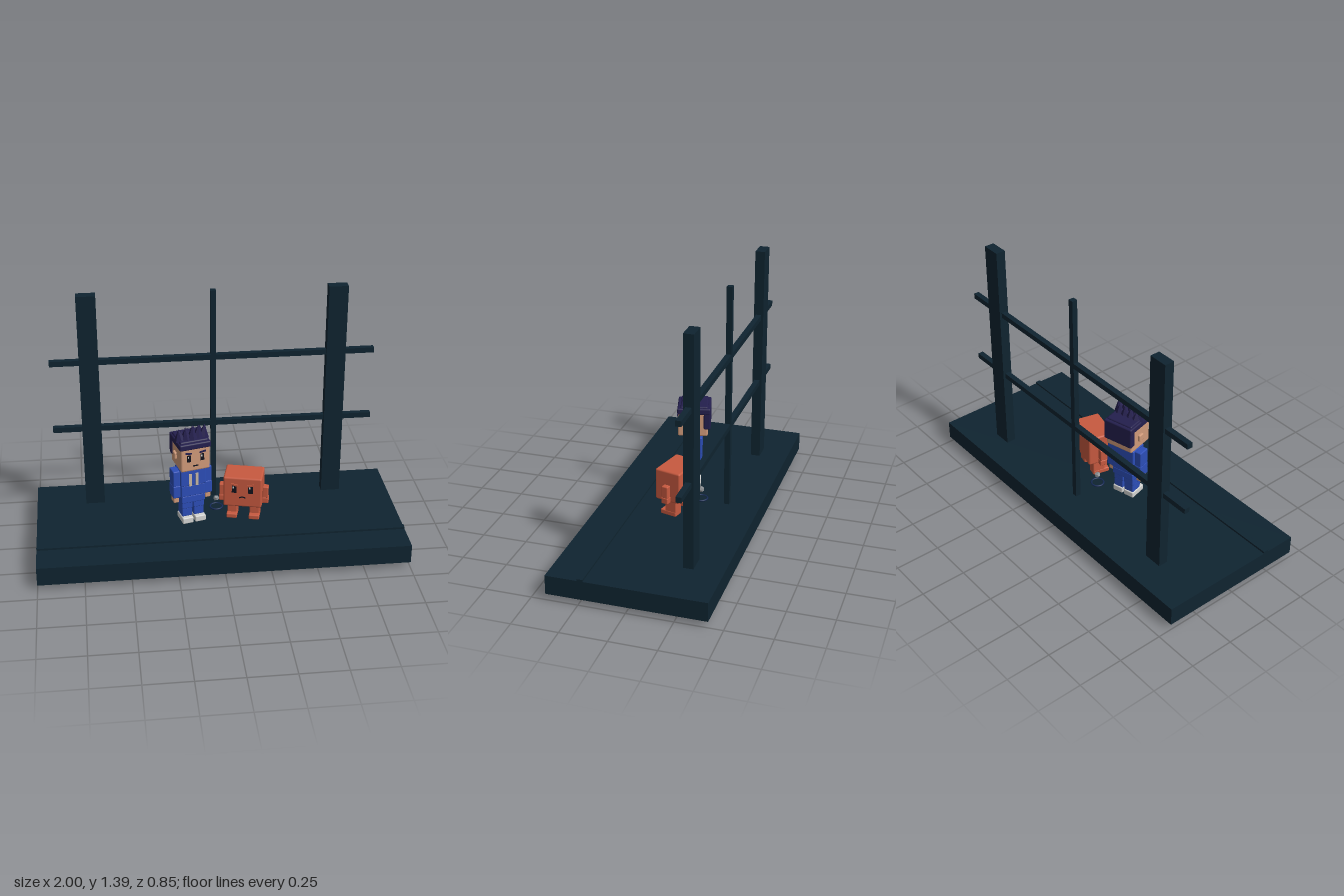
import * as THREE from 'three';
import { RoundedBoxGeometry } from 'three/addons/geometries/RoundedBoxGeometry.js';

const paint = (name, color) => {
  const m = new THREE.MeshStandardMaterial({ color });
  m.name = name;
  return m;
};

export function createModel() {
  const slate = paint('dark slate', 0x0f2430);
  const skin = paint('skin', 0xd09a7a);
  const hair = paint('navy hair', 0x241f4e);
  const blue = paint('blue cloth', 0x2c4eb8);
  const red = paint('terracotta', 0xc85a40);
  const white = paint('light grey', 0xd4d4d2);
  const ink = paint('ink', 0x11131c);
  const cream = paint('cream', 0xc8b8a4);
  const darkBlue = paint('deep blue', 0x152a55);
  const metal = paint('metal', 0x8c9094);

  const model = new THREE.Group();
  model.name = 'diorama';

  const add = (parent, name, geometry, material, x, y, z) => {
    const mesh = new THREE.Mesh(geometry, material);
    mesh.name = name;
    mesh.position.set(x, y, z);
    parent.add(mesh);
    return mesh;
  };
  const box = (parent, name, mat, w, h, d, x, y, z) =>
    add(parent, name, new THREE.BoxGeometry(w, h, d), mat, x, y, z);
  const soft = (parent, name, mat, w, h, d, x, y, z, r = 0.006) =>
    add(parent, name, new RoundedBoxGeometry(w, h, d, 2, r), mat, x, y, z);
  const group = (name, x, z, turn) => {
    const g = new THREE.Group();
    g.name = name;
    g.position.set(x, 0, z);
    g.rotation.y = turn;
    model.add(g);
    return g;
  };

  // Platform and fence
  box(model, 'platform', slate, 2, 0.105, 0.845, 0, 0.0865, 0);
  box(model, 'kerbStrip', slate, 2, 0.012, 0.03, 0, 0.144, 0.236);
  for (const s of [-1, 1]) box(model, 'post', slate, 0.105, 1.39, 0.054, s * 0.673, 0.695, -0.238);
  box(model, 'middlePost', slate, 0.03, 1.39, 0.03, 0, 0.695, -0.238);
  for (const y of [0.607, 1.005]) box(model, 'rail', slate, 1.77, 0.03, 0.03, 0, y, -0.238);

  // Small ring on the floor with a faceted ball above it
  const ring = group('floorRing', 0, -0.09, 0);
  add(ring, 'disc', new THREE.CylinderGeometry(0.034, 0.034, 0.008, 24), slate, 0, 0.143, 0);
  const hoop = add(ring, 'hoop', new THREE.TorusGeometry(0.034, 0.005, 8, 28), darkBlue, 0, 0.146, 0);
  hoop.rotation.x = Math.PI / 2;
  add(ring, 'ball', new THREE.DodecahedronGeometry(0.017), metal, 0, 0.2, 0);

  // Boy
  const boy = group('boy', -0.15, 0, 0.25);
  for (const s of [-1, 1]) {
    soft(boy, 'shoe', white, 0.062, 0.036, 0.1, s * 0.036, 0.157, 0.01);
    soft(boy, 'lowerLeg', blue, 0.058, 0.055, 0.07, s * 0.034, 0.2, 0);
    soft(boy, 'upperLeg', blue, 0.063, 0.05, 0.075, s * 0.033, 0.247, 0);
    soft(boy, 'upperSleeve', blue, 0.04, 0.095, 0.066, s * 0.091, 0.415, 0);
    soft(boy, 'lowerSleeve', blue, 0.042, 0.075, 0.07, s * 0.091, 0.335, 0);
    soft(boy, 'hand', skin, 0.032, 0.04, 0.05, s * 0.091, 0.283, 0);
    box(boy, 'jacketStripe', cream, 0.016, 0.075, 0.006, s * 0.019, 0.407, 0.05);
  }
  soft(boy, 'hips', blue, 0.136, 0.045, 0.09, 0, 0.283, 0);
  soft(boy, 'waist', blue, 0.14, 0.07, 0.094, 0, 0.338, 0);
  soft(boy, 'chest', blue, 0.146, 0.097, 0.098, 0, 0.418, 0);
  soft(boy, 'collar', blue, 0.11, 0.02, 0.08, 0, 0.466, 0);
  box(boy, 'neck', skin, 0.06, 0.02, 0.05, 0, 0.48, 0);
  soft(boy, 'head', skin, 0.165, 0.16, 0.165, 0, 0.56, 0.002, 0.01);
  for (const s of [-1, 1]) {
    soft(boy, 'ear', skin, 0.018, 0.04, 0.036, s * 0.087, 0.55, -0.004);
    box(boy, 'eye', ink, 0.02, 0.04, 0.005, s * 0.038, 0.56, 0.085);
    box(boy, 'eyeGlint', white, 0.007, 0.011, 0.003, s * 0.038 - 0.004, 0.569, 0.087);
    const brow = box(boy, 'eyebrow', hair, 0.036, 0.009, 0.006, s * 0.04, 0.592, 0.086);
    brow.rotation.z = s * 0.15;
  }
  box(boy, 'mouth', ink, 0.03, 0.006, 0.005, 0, 0.513, 0.085);

  // Hair: cap, back slab and a row of spikes
  soft(boy, 'hairCap', hair, 0.178, 0.036, 0.182, 0, 0.628, -0.004, 0.008);
  soft(boy, 'hairCrown', hair, 0.16, 0.02, 0.15, 0, 0.645, -0.005, 0.008);
  soft(boy, 'hairBack', hair, 0.176, 0.122, 0.038, 0, 0.584, -0.076, 0.008);
  const spikeHeights = [0.066, 0.076, 0.084, 0.08, 0.074];
  spikeHeights.forEach((h, i) => {
    const s = i - 2;
    const front = new THREE.ConeGeometry(0.033, h, 6).toNonIndexed();
    front.computeVertexNormals();
    const a = add(boy, 'frontSpike', front, hair, s * 0.035, 0.647 + h / 2, 0.034 - Math.abs(s) * 0.006);
    a.rotation.z = -s * 0.07;
    if (i === 4) return;
    const back = new THREE.ConeGeometry(0.03, h * 0.78, 6).toNonIndexed();
    back.computeVertexNormals();
    add(boy, 'backSpike', back, hair, (s + 0.5) * 0.036, 0.645 + h * 0.39, 0.002);
  });

  // Block creature
  const block = group('blockCreature', 0.145, 0, -0.25);
  soft(block, 'body', red, 0.212, 0.18, 0.152, 0, 0.32, 0, 0.01);
  for (const s of [-1, 1]) {
    soft(block, 'leg', red, 0.055, 0.1, 0.07, s * 0.062, 0.19, -0.008);
    soft(block, 'foot', red, 0.058, 0.028, 0.095, s * 0.062, 0.153, 0.006);
    soft(block, 'arm', red, 0.032, 0.07, 0.038, s * 0.12, 0.297, 0);
    soft(block, 'hand', red, 0.036, 0.036, 0.042, s * 0.12, 0.248, 0);
    box(block, 'eye', ink, 0.026, 0.046, 0.005, s * 0.045, 0.342, 0.077);
    box(block, 'eyeGlint', white, 0.008, 0.012, 0.003, s * 0.045 - 0.005, 0.353, 0.079);
    const brow = box(block, 'eyebrow', red, 0.038, 0.01, 0.007, s * 0.045, 0.368, 0.078);
    brow.rotation.z = s * 0.25;
    const lip = box(block, 'mouth', ink, 0.02, 0.006, 0.005, s * 0.008, 0.292, 0.077);
    lip.rotation.z = -s * 0.35;
  }
  return model;
}
